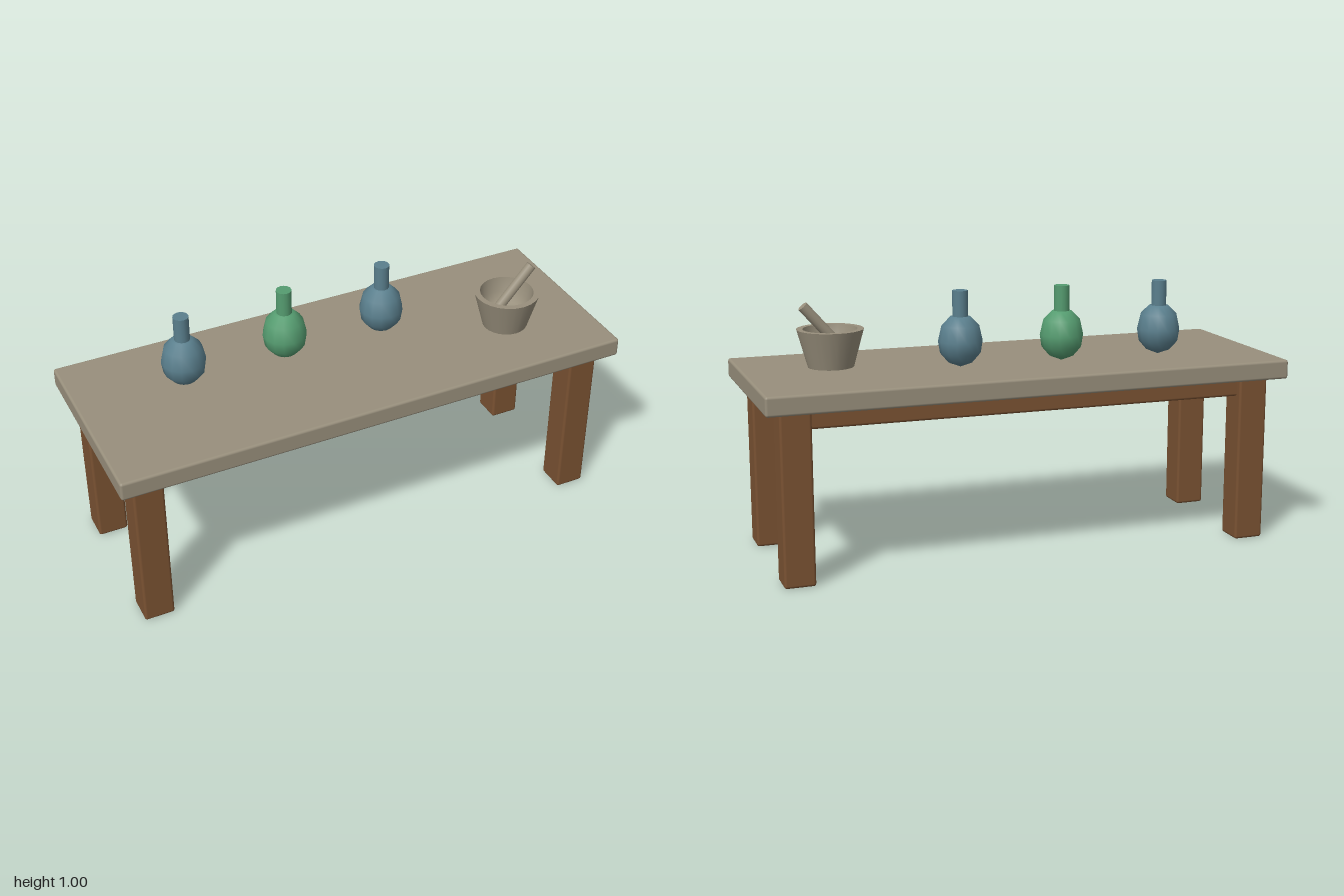
import * as THREE from 'three';
import { RoundedBoxGeometry } from 'three/addons/geometries/RoundedBoxGeometry.js';

const flat = (name, color) => {
  const m = new THREE.MeshStandardMaterial({ color });
  m.name = name;
  return m;
};

export function createModel() {
  const stone = flat('stone', 0x988f7c);
  const wood = flat('wood', 0x7a5232);
  const blue = flat('blueGlass', 0x5a7f8d);
  const green = flat('greenGlass', 0x559c70);
  const model = new THREE.Group();
  model.name = 'workTable';

  const add = (parent, name, geometry, material, x = 0, y = 0, z = 0) => {
    const mesh = new THREE.Mesh(geometry, material);
    mesh.name = name;
    mesh.position.set(x, y, z);
    parent.add(mesh);
    return mesh;
  };
  const lathe = (points, segments) =>
    new THREE.LatheGeometry(points.map(([r, y]) => new THREE.Vector2(r, y)), segments);

  // Table: slab, four legs and two long rails
  add(model, 'tableTop', new RoundedBoxGeometry(2, 0.073, 0.75, 2, 0.01), stone, 0, 0.6735, 0);
  const legGeo = new RoundedBoxGeometry(0.115, 0.637, 0.115, 2, 0.01);
  const railGeo = new RoundedBoxGeometry(1.68, 0.075, 0.06, 2, 0.01);
  for (const z of [-1, 1]) {
    for (const x of [-1, 1]) add(model, 'leg', legGeo, wood, x * 0.885, 0.3185, z * 0.26);
    add(model, 'rail', railGeo, wood, 0, 0.602, z * 0.26);
  }

  // Flasks: rounded body and straight capped neck
  const bodyGeo = lathe([[0, 0], [0.046, 0.018], [0.076, 0.053], [0.083, 0.098],
    [0.07, 0.155], [0.038, 0.188], [0, 0.192]], 14);
  const neckGeo = new THREE.CylinderGeometry(0.029, 0.029, 0.11, 14);
  for (const [x, glass] of [[-0.588, blue], [-0.187, green], [0.214, blue]]) {
    const flask = new THREE.Group();
    flask.name = 'flask';
    flask.position.set(x, 0.711, -0.085);
    add(flask, 'flaskBody', bodyGeo, glass);
    add(flask, 'flaskNeck', neckGeo, glass, 0, 0.23, 0);
    model.add(flask);
  }

  // Mortar: separate wall, rim and hollow keep the edges crisp
  const mortar = new THREE.Group();
  mortar.name = 'mortar';
  mortar.position.set(0.665, 0.71, 0.084);
  add(mortar, 'mortarWall', lathe([[0.086, 0], [0.125, 0.142]], 24), stone);
  add(mortar, 'mortarRim', lathe([[0.125, 0.142], [0.102, 0.142]], 24), stone);
  add(mortar, 'mortarHollow', lathe([[0.102, 0.142], [0.092, 0.085], [0.07, 0.05], [0, 0.042]], 24), stone);
  model.add(mortar);

  // Pestle leaning toward the table end
  const pestle = add(model, 'pestle', new THREE.CylinderGeometry(0.02, 0.02, 0.206, 12),
    stone, 0.698, 0.863, 0.084);
  pestle.rotation.z = -0.72;

  return model;
}
